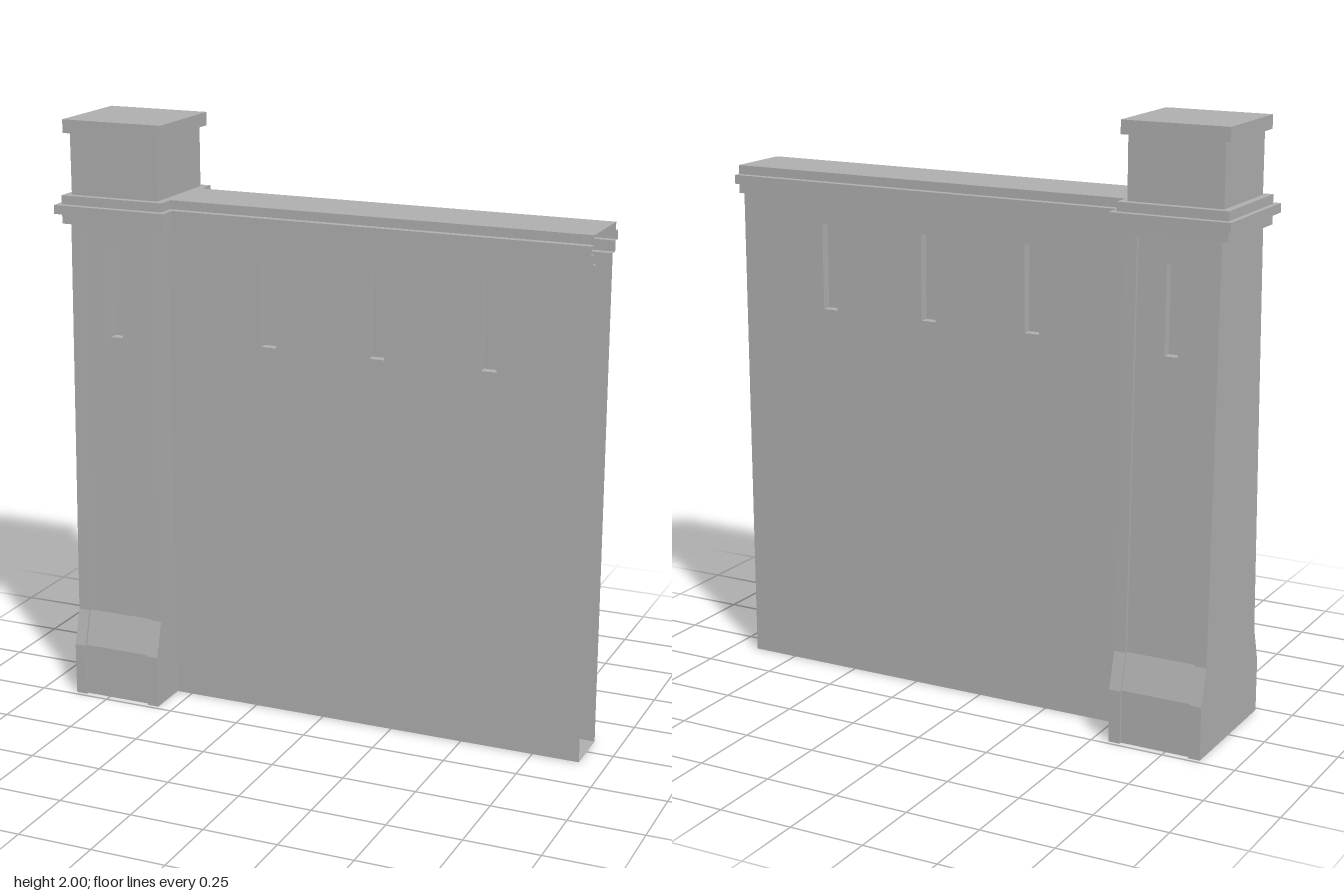
import * as THREE from 'three';

export function createModel() {
  const model = new THREE.Group();
  const stone = new THREE.MeshStandardMaterial({ color: 0xb0b0b0, side: THREE.DoubleSide });
  stone.name = 'grey stone';

  const add = (name, geometry, parent = model) => {
    const mesh = new THREE.Mesh(geometry, stone);
    mesh.name = name;
    parent.add(mesh);
    return mesh;
  };
  const box = (name, x, y0, y1, w, d, parent) =>
    add(name, new THREE.BoxGeometry(w, y1 - y0, d).translate(x, (y0 + y1) / 2, 0), parent);

  const TOP = 1.655, SLOT0 = 1.28, SLOT1 = 1.57, SLOT_DEPTH = 0.032;

  // Tower: symmetric tapering side profiles, extruded across x in slices
  const tower = new THREE.Group();
  tower.name = 'tower';
  model.add(tower);
  const towerX = -0.715;
  const slopeZ = (y) => 0.2 + (0.165 - 0.2) * (y - 0.3) / (TOP - 0.3);

  function slice(name, x0, x1, inset, slotted) {
    const half = [[0.235, 0], [0.235, 0.18], [0.2, 0.3]];
    if (slotted) {
      half.push([slopeZ(SLOT0), SLOT0], [slopeZ(SLOT0) - SLOT_DEPTH, SLOT0],
        [slopeZ(SLOT1) - SLOT_DEPTH, SLOT1], [slopeZ(SLOT1), SLOT1]);
    }
    half.push([0.165, TOP]);
    const front = half.map(([z, y]) => new THREE.Vector2(z - inset, y));
    const back = front.map((p) => new THREE.Vector2(-p.x, p.y)).reverse();
    const g = new THREE.ExtrudeGeometry(new THREE.Shape([...front, ...back]),
      { depth: x1 - x0, bevelEnabled: false });
    add(name, g.rotateY(Math.PI / 2).translate(x0, 0, 0), tower);
  }
  slice('outerPilaster', -0.875, -0.835, 0, false);
  slice('outerPanel', -0.835, -0.737, 0.01, false);
  slice('slottedPanel', -0.737, -0.693, 0.01, true);
  slice('innerPanel', -0.693, -0.595, 0.01, false);
  slice('innerPilaster', -0.595, -0.555, 0, false);

  // Tower cornice, neck and cap
  box('towerCorniceLower', towerX, TOP, 1.69, 0.37, 0.36, tower);
  box('towerCorniceMiddle', towerX, 1.69, 1.72, 0.405, 0.405, tower);
  box('towerCorniceUpper', towerX, 1.72, 1.75, 0.37, 0.36, tower);
  box('towerNeck', towerX, 1.75, 1.955, 0.32, 0.31, tower);
  box('towerCap', towerX, 1.955, 2, 0.36, 0.335, tower);

  // Wall: hollow, open at its far end
  const wall = new THREE.Group();
  wall.name = 'wall';
  model.add(wall);
  const X0 = -0.555, X1 = 0.91, WZ = 0.0875;
  const slotXs = [-0.193, 0.19, 0.571], slotW = 0.053;

  function rectangle(target, x0, x1, y0, y1) {
    target.moveTo(x0, y0);
    target.lineTo(x1, y0);
    target.lineTo(x1, y1);
    target.lineTo(x0, y1);
    target.closePath();
    return target;
  }

  // Front and back faces with recessed slots
  for (const side of [1, -1]) {
    const name = side > 0 ? 'front' : 'back';
    const face = rectangle(new THREE.Shape(), Math.min(X0 * side, X1 * side),
      Math.max(X0 * side, X1 * side), 0, TOP);
    const turn = side > 0 ? 0 : Math.PI;
    for (const x of slotXs) {
      face.holes.push(rectangle(new THREE.Path(), side * x - slotW / 2, side * x + slotW / 2, SLOT0, SLOT1));
      const lining = new THREE.BoxGeometry(slotW, SLOT1 - SLOT0, SLOT_DEPTH);
      // drop the outward face so the recess stays open
      const index = Array.from(lining.index.array);
      index.splice(24, 6);
      lining.setIndex(index);
      lining.clearGroups();
      lining.translate(side * x, (SLOT0 + SLOT1) / 2, WZ - SLOT_DEPTH / 2).rotateY(turn);
      add(name + 'SlotRecess', lining, wall);
    }
    add(name + 'WallFace', new THREE.ShapeGeometry(face).translate(0, 0, WZ).rotateY(turn), wall);
  }

  // Strips running along x through a list of [z, y] points
  function strip(name, points) {
    const pos = [];
    for (let i = 0; i < points.length - 1; i++) {
      const [za, ya] = points[i], [zb, yb] = points[i + 1];
      pos.push(X0, ya, za, X1, ya, za, X1, yb, zb, X0, ya, za, X1, yb, zb, X0, yb, zb);
    }
    const g = new THREE.BufferGeometry();
    g.setAttribute('position', new THREE.Float32BufferAttribute(pos, 3));
    g.computeVertexNormals();
    add(name, g, wall);
  }
  const cornice = [[WZ, TOP], [0.115, TOP], [0.115, 1.69], [0.14, 1.69],
    [0.14, 1.72], [0.115, 1.72], [0.115, 1.75]];
  strip('wallCornice', [...cornice, ...cornice.map(([z, y]) => [-z, y]).reverse()]);
  strip('wallBase', [[-WZ, 0], [WZ, 0]]);

  return model;
}
